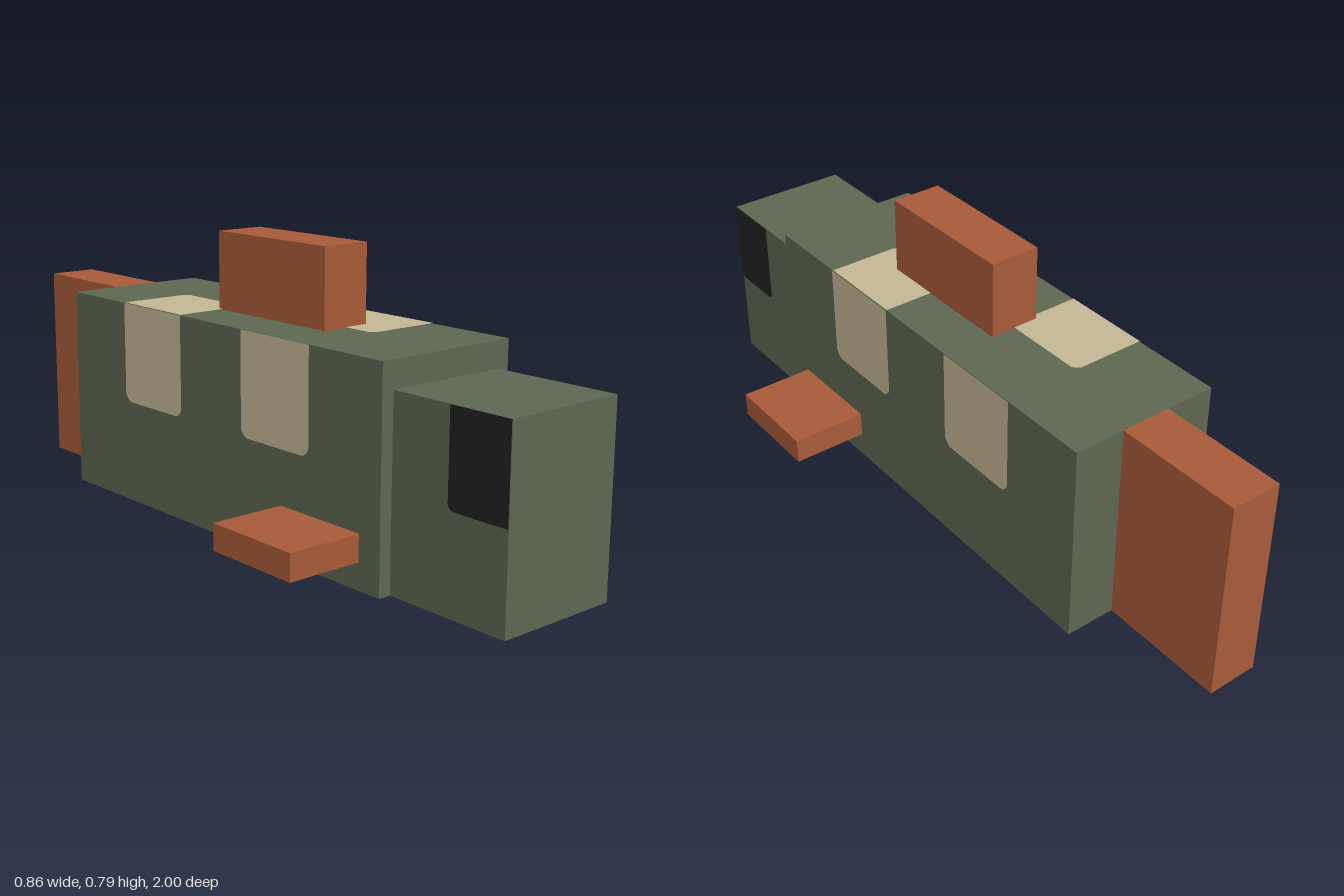
import * as THREE from 'three';

const U = 1 / 14; // grid unit all blocks snap to

function material(name, color) {
  const m = new THREE.MeshStandardMaterial({ color });
  m.name = name;
  return m;
}

export function createModel() {
  const green = material('mossGreen', 0x5f6952);
  const rust = material('rustOrange', 0xab5c3a);
  const cream = material('cream', 0xc8ba98);
  const black = material('eyeBlack', 0x222222);
  const bellied = [green, green, green, rust, green, green]; // green block, rust underside

  const fish = new THREE.Group();
  fish.name = 'fish';

  // Block given by its bounds in grid units
  function block(name, mat, [x0, x1], [y0, y1], [z0, z1]) {
    const geo = new THREE.BoxGeometry((x1 - x0) * U, (y1 - y0) * U, (z1 - z0) * U);
    const mesh = new THREE.Mesh(geo, mat);
    mesh.name = name;
    mesh.position.set((x0 + x1) / 2 * U, (y0 + y1) / 2 * U, (z0 + z1) / 2 * U);
    fish.add(mesh);
  }

  // Flat marking with clipped lower corners, oriented by its up and normal directions
  function marking(name, mat, w, h, cutL, cutR, center, up, normal) {
    const shape = new THREE.Shape();
    shape.moveTo(-w / 2, h / 2);
    shape.lineTo(-w / 2, -h / 2 + cutL);
    if (cutL) shape.quadraticCurveTo(-w / 2 + cutL * 0.3, -h / 2 + cutL * 0.3, -w / 2 + cutL, -h / 2);
    shape.lineTo(w / 2 - cutR, -h / 2);
    if (cutR) shape.quadraticCurveTo(w / 2 - cutR * 0.3, -h / 2 + cutR * 0.3, w / 2, -h / 2 + cutR);
    shape.lineTo(w / 2, h / 2);
    const geo = new THREE.ShapeGeometry(shape, 3);
    const right = new THREE.Vector3().crossVectors(up, normal);
    geo.applyMatrix4(new THREE.Matrix4().makeBasis(right, up, normal));
    const mesh = new THREE.Mesh(geo, mat);
    mesh.name = name;
    mesh.position.copy(center).addScaledVector(normal, 0.002);
    fish.add(mesh);
  }

  // Main blocks
  block('body', bellied, [-3, 3], [0, 8], [-9, 9]);
  block('head', bellied, [-2.5, 2.5], [0, 7], [9, 14]);
  block('tailFin', rust, [-1, 1], [0, 8], [-14, -9]);
  block('dorsalFin', rust, [-1, 1], [8, 11], [-2, 4]);
  block('leftFin', rust, [3, 6], [1, 2], [4, 8]);
  block('rightFin', rust, [-6, -3], [1, 2], [4, 8]);

  const Y = new THREE.Vector3(0, 1, 0);
  for (const s of [1, -1]) {
    const side = s > 0 ? 'left' : 'right';
    const out = new THREE.Vector3(s, 0, 0);

    // Two saddle patches on each flank
    for (const z of [0.26, -0.26]) {
      const where = z > 0 ? 'FrontPatch' : 'RearPatch';
      marking(side + where, cream, 0.262, 0.281, 0.022, 0.022,
        new THREE.Vector3(s * 3 * U, 8 * U - 0.1405, z), Y, out);
    }

    // One patch wraps onto the back: front on the left, rear on the right
    marking(side + 'BackPatch', cream, 0.26, 3 * U, 0.018, 0.018,
      new THREE.Vector3(s * 1.5 * U, 8 * U, s * 0.257), out, Y);

    // Eye at the front upper corner of the head, clipped at its rear lower corner
    marking(side + 'Eye', black, 0.178, 0.245, s > 0 ? 0 : 0.014, s > 0 ? 0.014 : 0,
      new THREE.Vector3(s * 2.5 * U, 0.5 - 0.1225, 1 - 0.089), Y, out);
  }

  return fish;
}
